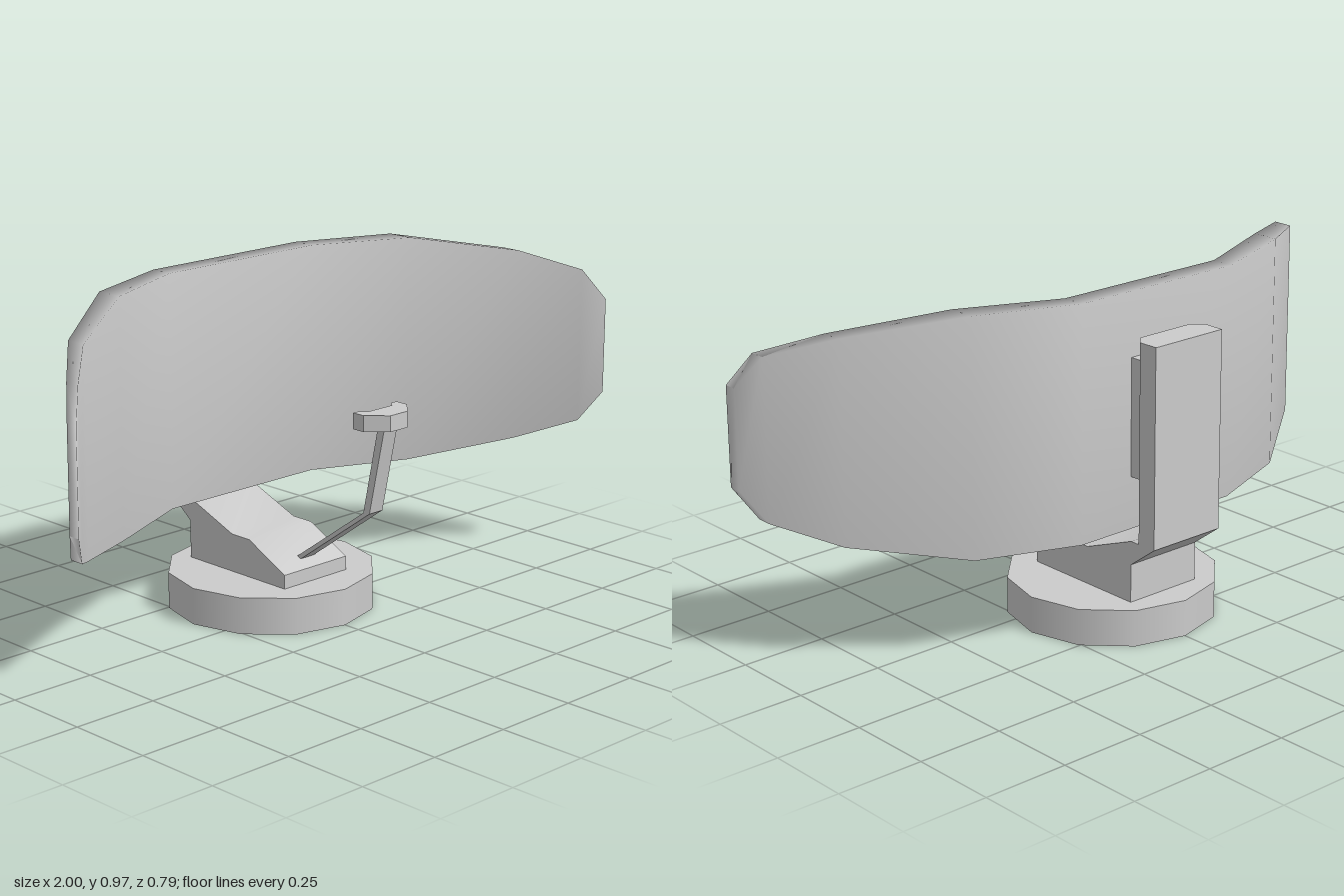
import * as THREE from 'three';
import { toCreasedNormals } from 'three/addons/utils/BufferGeometryUtils.js';

const material = new THREE.MeshStandardMaterial({ color: 0xcccccc });
const shellMaterial = new THREE.MeshStandardMaterial({ color: 0xcccccc, side: THREE.DoubleSide });

const shapeOf = (points) => new THREE.Shape(points.map(([a, b]) => new THREE.Vector2(a, b)));

// Side profile of [z, y] points, given a width across x
function sideExtrude(points, width) {
  const g = new THREE.ExtrudeGeometry(shapeOf(points), { depth: width, bevelEnabled: false });
  g.rotateY(-Math.PI / 2).translate(width / 2, 0, 0);
  return g;
}

// Mirrored plan of [x, z] points (right half, front to back), raised from y0 to y1
function planExtrude(half, y0, y1) {
  const right = half.map(([x, z]) => [x, -z]);
  const left = half.map(([x, z]) => [-x, -z]).reverse();
  const g = new THREE.ExtrudeGeometry(shapeOf([...right, ...left]), { depth: y1 - y0, bevelEnabled: false });
  g.rotateX(-Math.PI / 2).translate(0, y0, 0);
  return g;
}

// Curved reflector: four-cornered sections lofted along x
function reflectorGeometry() {
  // x, front z, back z, half height
  const half = [
    [0.27, -0.21, -0.276, 0.334],
    [0.55, -0.09, -0.17, 0.334],
    [0.82, 0.09, 0.03, 0.284],
    [0.95, 0.225, 0.18, 0.228],
    [1.0, 0.276, 0.24, 0.14],
  ];
  const columns = [...half.map(([x, ...rest]) => [-x, ...rest]).reverse(), ...half];
  const midY = 0.638;
  const positions = [];
  const index = [];
  for (const [x, front, back, h] of columns) {
    positions.push(x, midY - h, front, x, midY + h, front, x, midY + h, back, x, midY - h, back);
  }
  const quad = (a, b, c, d) => index.push(a, b, c, a, c, d);
  for (let i = 0; i < columns.length - 1; i++) {
    for (let j = 0; j < 4; j++) {
      const k = (j + 1) % 4;
      quad(i * 4 + j, i * 4 + 4 + j, i * 4 + 4 + k, i * 4 + k);
    }
  }
  const e = (columns.length - 1) * 4;
  quad(0, 1, 2, 3);
  quad(e, e + 3, e + 2, e + 1);
  const g = new THREE.BufferGeometry();
  g.setAttribute('position', new THREE.Float32BufferAttribute(positions, 3));
  g.setIndex(index);
  g.computeVertexNormals();
  return g;
}

export function createModel() {
  const model = new THREE.Group();
  model.name = 'radarAntenna';
  const add = (name, geometry, mat = material) => {
    const mesh = new THREE.Mesh(geometry, mat);
    mesh.name = name;
    model.add(mesh);
    return mesh;
  };

  // Twelve-sided base, hollow underneath
  const base = add('base', new THREE.CylinderGeometry(0.297, 0.297, 0.105, 12, 1, true), shellMaterial);
  base.position.set(0, 0.0525, -0.098);
  const baseTop = add('baseTop', new THREE.CircleGeometry(0.297, 12).rotateX(-Math.PI / 2), shellMaterial);
  baseTop.position.set(0, 0.105, -0.098);

  // Sloped pedestal that leans back into the mast
  add('pedestal', toCreasedNormals(sideExtrude([
    [0.082, 0.1], [0.082, 0.145], [-0.06, 0.215], [-0.13, 0.215],
    [-0.305, 0.283], [-0.395, 0.283], [-0.305, 0.215], [-0.305, 0.1],
  ], 0.24), 0.8));

  // Upright mast with cut front corners
  add('mast', toCreasedNormals(
    planExtrude([[0.09, -0.304], [0.12, -0.335], [0.12, -0.395]].reverse(), 0.283, 0.85), 0.9));

  // Block joining mast and reflector
  const bracket = add('bracket', new THREE.BoxGeometry(0.19, 0.335, 0.06));
  bracket.position.set(0, 0.622, -0.295);

  add('reflector', reflectorGeometry());

  // Bent arm reaching out in front
  add('feedArm', sideExtrude([
    [0.049, 0.163], [0.313, 0.354], [0.366, 0.605], [0.342, 0.605], [0.29, 0.352], [0.033, 0.167],
  ], 0.05));

  // Feed horn at the tip, notched on the reflector side
  add('feedHorn', planExtrude([
    [0.033, 0.395], [0.083, 0.345], [0.083, 0.306], [0.063, 0.306], [0.045, 0.325],
  ], 0.602, 0.647));

  return model;
}
